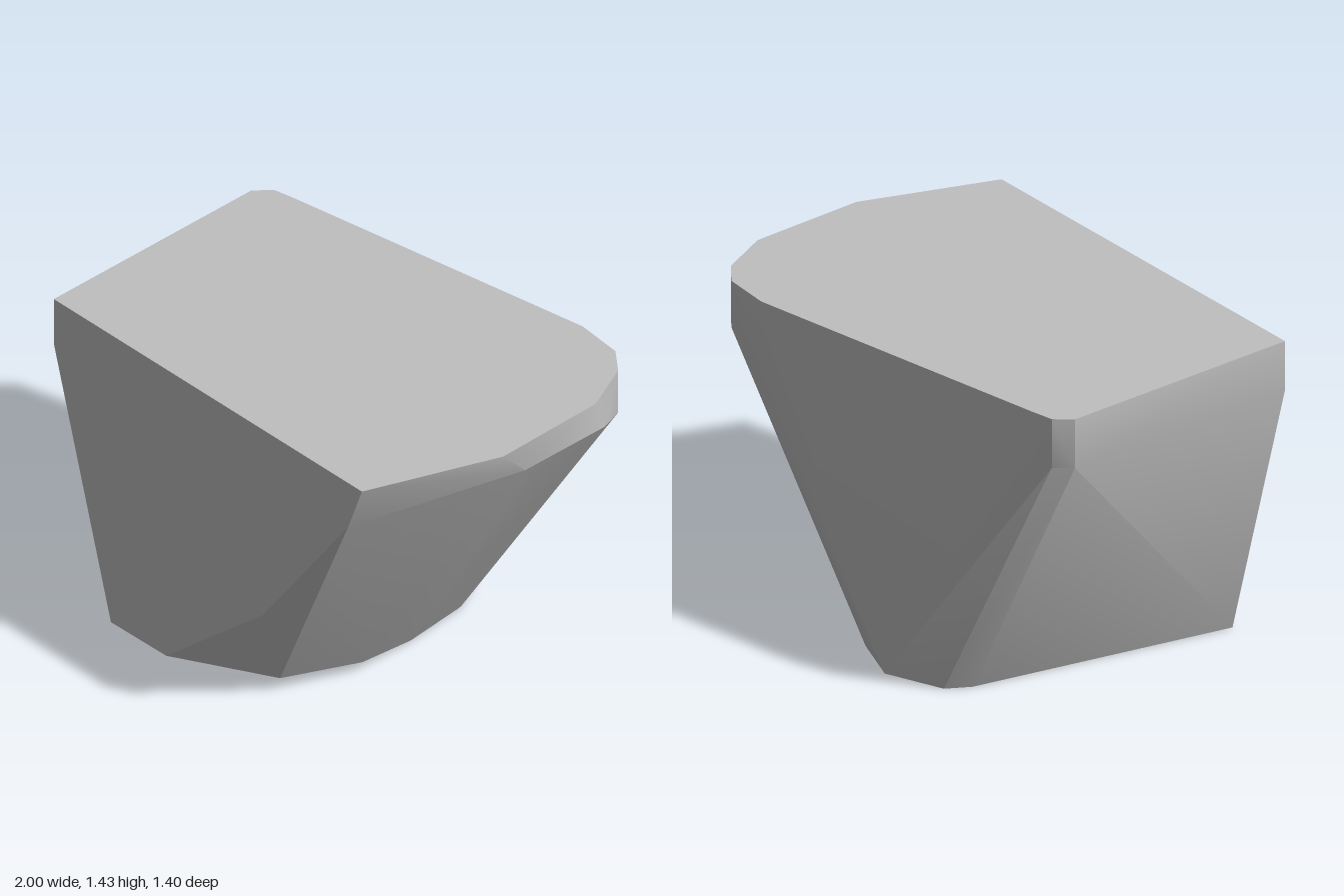
import * as THREE from 'three';
import { ConvexGeometry } from 'three/addons/geometries/ConvexGeometry.js';
import { toCreasedNormals } from 'three/addons/utils/BufferGeometryUtils.js';

export function createModel() {
  const stone = new THREE.MeshStandardMaterial({ color: 0xbfbfbf });
  stone.name = 'stone grey';

  // Flat top outline, as x, z
  const height = 1.43;
  const top = [
    [-1, 0.7], [0.78, 0.7], [1, 0.13], [1, -0.38], [0.9, -0.6],
    [0.8, -0.68], [0.59, -0.7], [-0.82, -0.46], [-0.92, -0.44], [-0.98, -0.37],
  ].map(([x, z]) => [x, height, z]);

  // Lower edge of the upright rim
  const rim = [
    [-1, 1.21, 0.7], [0.7, 1.21, 0.7], [1, 1.3, 0.01], [1, 1.29, -0.43],
    [0.9, 1.22, -0.6], [0.8, 1.22, -0.68], [0.59, 1.22, -0.7],
    [-0.92, 1.21, -0.44], [-0.98, 1.21, -0.37],
  ];

  // Chamfered front corner
  const chamfer = [[0.21, 0.51, 0.7], [0.14, 0.075, 0.54], [0.27, 0.055, 0.21]];

  // Small foot
  const foot = [
    [-0.67, 0, 0.7], [-0.35, 0.005, 0.7], [0.245, 0, -0.08], [0.22, 0, -0.38],
    [0.14, 0, -0.53], [-0.09, 0, -0.62], [-0.34, 0, -0.52], [-0.4, 0, -0.42],
  ];

  const points = [...top, ...rim, ...chamfer, ...foot].map((p) => new THREE.Vector3(...p));
  const geometry = toCreasedNormals(new ConvexGeometry(points), 0.5);
  const block = new THREE.Mesh(geometry, stone);
  block.name = 'taperedBlock';

  const model = new THREE.Group();
  model.name = 'taperedRock';
  model.add(block);
  return model;
}
